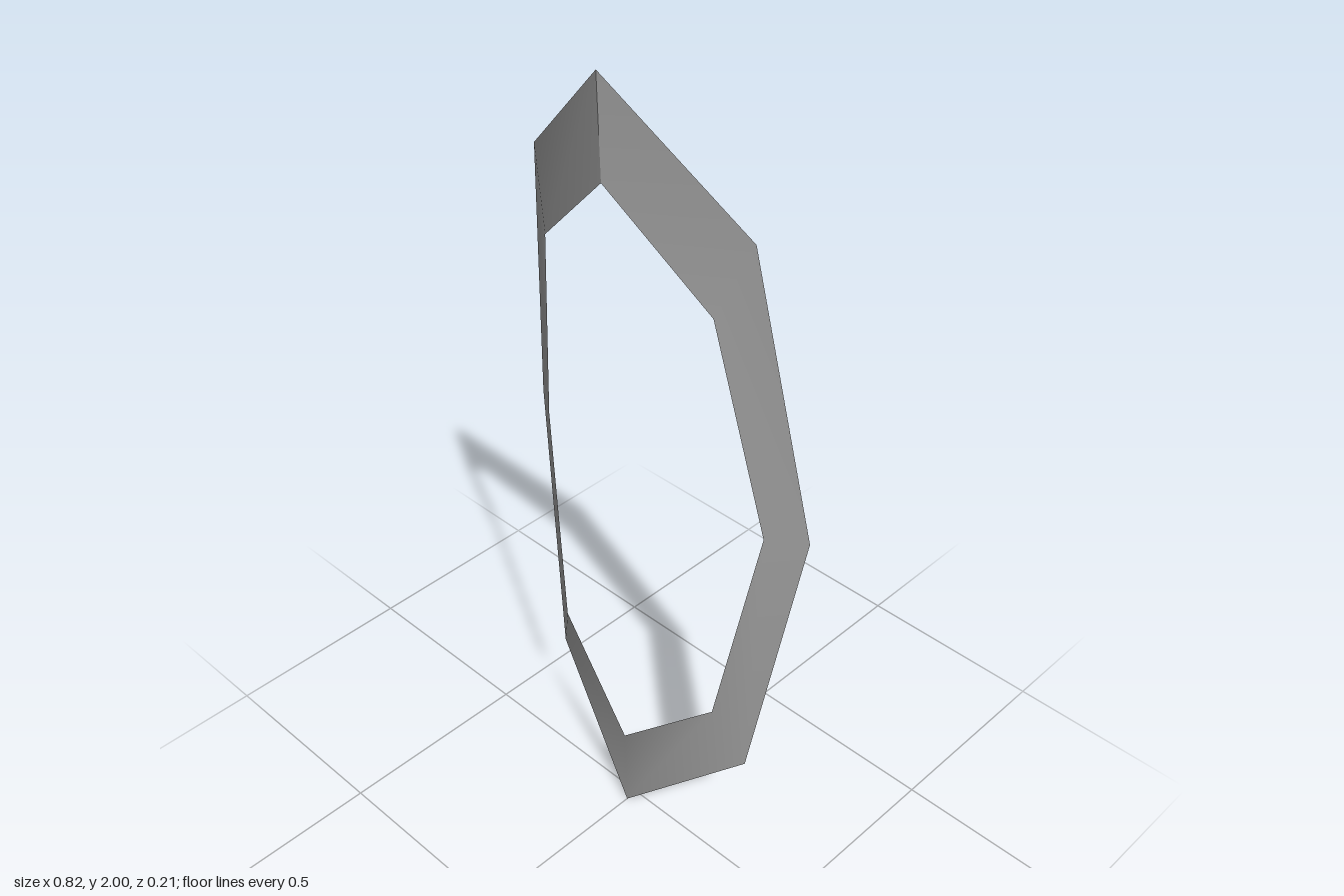
import * as THREE from 'three';

// Half of the ring from top to bottom: [outer x, y, z, inner x, y, z]
const HALF = [
  [0, 2, 0.105, 0, 1.77, 0.096],
  [0.302, 1.715, -0.008, 0.236, 1.543, 0.03],
  [0.41, 1.005, -0.102, 0.33, 1.005, -0.046],
  [0.308, 0.3, -0.053, 0.242, 0.463, -0.003],
  [0, 0.005, 0.034, 0, 0.24, 0.041],
];

export function createModel() {
  const group = new THREE.Group();
  const grey = new THREE.MeshStandardMaterial({ color: 0xa0a0a0, side: THREE.DoubleSide });
  grey.name = 'grey';

  // Mirror the half; the strip starts and ends at the top so that only the top seam is sharp
  const mirrored = HALF.slice(0, -1).reverse().map(([a, b, c, d, e, f]) => [-a, b, c, -d, e, f]);
  const rows = [...HALF, ...mirrored];

  // Join neighbouring outer and inner corners into one bent strip
  const index = [];
  for (let i = 0; i < rows.length - 1; i++) {
    const a = i * 2;
    index.push(a, a + 1, a + 2, a + 1, a + 3, a + 2);
  }
  const geometry = new THREE.BufferGeometry();
  geometry.setAttribute('position', new THREE.Float32BufferAttribute(rows.flat(), 3));
  geometry.setIndex(index);
  geometry.computeVertexNormals();

  const frame = new THREE.Mesh(geometry, grey);
  frame.name = 'curvedFrame';
  group.add(frame);
  return group;
}
